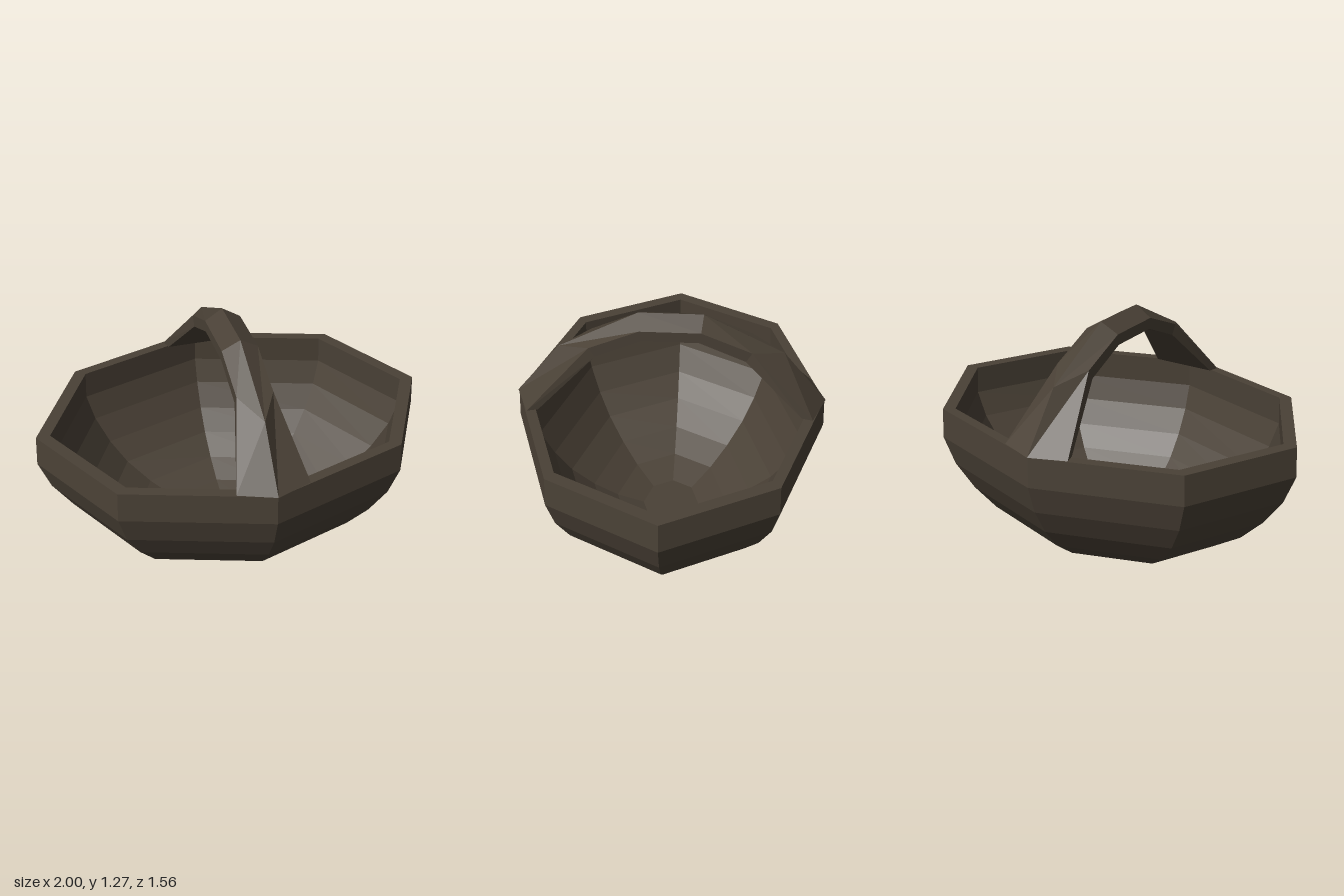
import * as THREE from 'three';

const DEPTH = 0.78; // the bowl is narrower from front to back

const material = new THREE.MeshStandardMaterial({ color: 0x4a4136, flatShading: true });

// Eight-sided bowl: outer wall up, over the rim, then down the inner wall
function makeBowl() {
  const profile = [
    [0, 0], [0.2, 0], [0.39, 0.045], [0.56, 0.12], [0.72, 0.22],
    [0.84, 0.34], [0.94, 0.48], [1, 0.63], [0.993, 0.785],
    [0.923, 0.785], [0.93, 0.64], [0.88, 0.51], [0.79, 0.38], [0.68, 0.27],
    [0.53, 0.175], [0.37, 0.105], [0.19, 0.06], [0, 0.06],
  ].map(([r, y]) => new THREE.Vector2(r, y));
  const geometry = new THREE.LatheGeometry(profile, 8);
  geometry.scale(1, 1, DEPTH);
  const bowl = new THREE.Mesh(geometry, material);
  bowl.name = 'bowl';
  return bowl;
}

// Arched handle: five-sided section with an outer ridge, flaring at the feet
function makeHandle() {
  // each station: ridge [z, y], outer edge [x, z, y], inner edge [x, z, y]
  const half = [
    { ridge: [0.78, 0.785], outer: [0.18, 0.71, 0.785], inner: [0.165, 0.655, 0.785] },
    { ridge: [0.56, 1.06], outer: [0.09, 0.4, 1.11], inner: [0.09, 0.37, 1.06] },
    { ridge: [0.16, 1.267], outer: [0.09, 0.15, 1.215], inner: [0.09, 0.14, 1.16] },
  ];
  const section = ({ ridge, outer, inner }, s) => [
    [0, ridge[1], s * ridge[0]],
    [outer[0], outer[2], s * outer[1]],
    [inner[0], inner[2], s * inner[1]],
    [-inner[0], inner[2], s * inner[1]],
    [-outer[0], outer[2], s * outer[1]],
  ];
  const rings = [
    ...half.map((h) => section(h, 1)),
    ...half.slice().reverse().map((h) => section(h, -1)),
  ];
  const n = 5;
  const index = [];
  for (let i = 0; i < rings.length - 1; i++) {
    for (let k = 0; k < n; k++) {
      const a = i * n + k;
      const b = i * n + ((k + 1) % n);
      index.push(a, b, b + n, a, b + n, a + n);
    }
  }
  // close the undersides of the two feet
  const last = (rings.length - 1) * n;
  for (let k = 1; k < n - 1; k++) {
    index.push(0, k + 1, k, last, last + k, last + k + 1);
  }
  const geometry = new THREE.BufferGeometry();
  geometry.setAttribute('position', new THREE.Float32BufferAttribute(rings.flat(2), 3));
  geometry.setIndex(index);
  const flat = geometry.toNonIndexed();
  flat.computeVertexNormals();
  const handle = new THREE.Mesh(flat, material);
  handle.name = 'handle';
  return handle;
}

export function createModel() {
  const basket = new THREE.Group();
  basket.name = 'basket';
  basket.add(makeBowl(), makeHandle());
  return basket;
}
